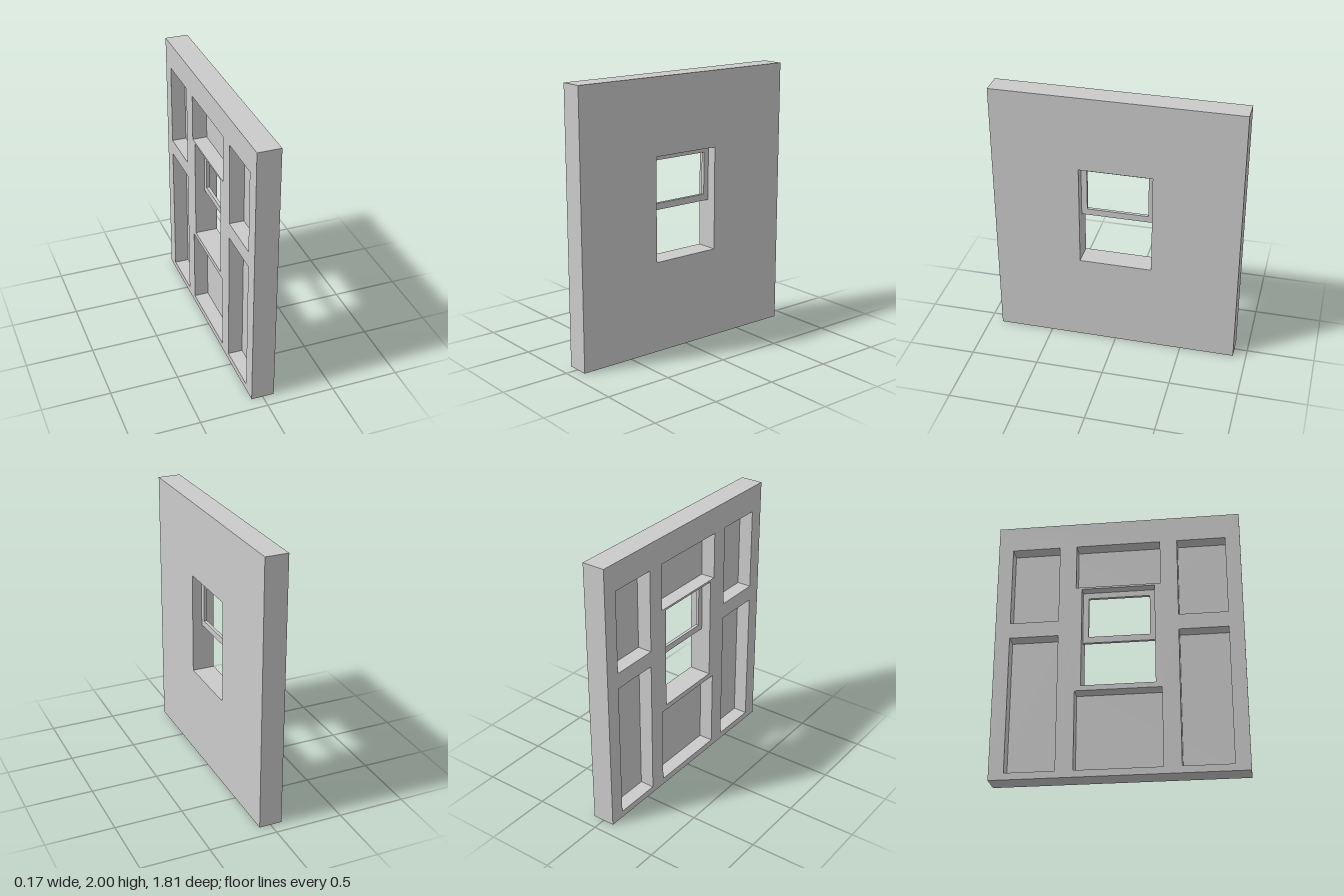
import * as THREE from 'three';

const material = new THREE.MeshStandardMaterial({ color: 0xcccccc, flatShading: true });

// Rectangle in the wall plane: [left, right, bottom, top]
function trace(path, [l, r, b, t]) {
  path.moveTo(l, b);
  path.lineTo(r, b);
  path.lineTo(r, t);
  path.lineTo(l, t);
  path.closePath();
  return path;
}

// Flat slab with rectangular holes, spanning x0..x1 in thickness
function slab(name, outline, holes, x0, x1) {
  const shape = trace(new THREE.Shape(), outline);
  holes.forEach((h) => shape.holes.push(trace(new THREE.Path(), h)));
  const geometry = new THREE.ExtrudeGeometry(shape, { depth: x1 - x0, bevelEnabled: false });
  geometry.rotateY(Math.PI / 2);
  geometry.translate(x0, 0, 0);
  const mesh = new THREE.Mesh(geometry, material);
  mesh.name = name;
  return mesh;
}

export function createModel() {
  const group = new THREE.Group();
  group.name = 'windowWall';

  const half = 0.084;
  const sheetBack = 0.023;
  const wall = [-0.904, 0.904, 0, 2];
  const opening = [-0.267, 0.267, 0.676, 1.443];

  // Bays between the studs on the -x side
  const bays = [
    [-0.311, 0.311, 0.05, 0.637],
    [-0.311, 0.311, 1.458, 1.805],
  ];
  for (const [bottom, top] of [[0.05, 1.077], [1.195, 1.805]]) {
    bays.push([-0.795, -0.438, bottom, top], [0.438, 0.795, bottom, top]);
  }

  // Smooth sheet on the +x side, stud framing behind it
  group.add(slab('wallSheet', wall, [opening], sheetBack, half));
  group.add(slab('studFraming', wall, [opening, ...bays], -half, sheetBack));

  // Raised sash filling the upper half of the opening
  group.add(slab('windowSash', [-0.267, 0.267, 1.038, 1.443], [[-0.225, 0.225, 1.086, 1.399]], -0.012, 0.012));

  return group;
}
